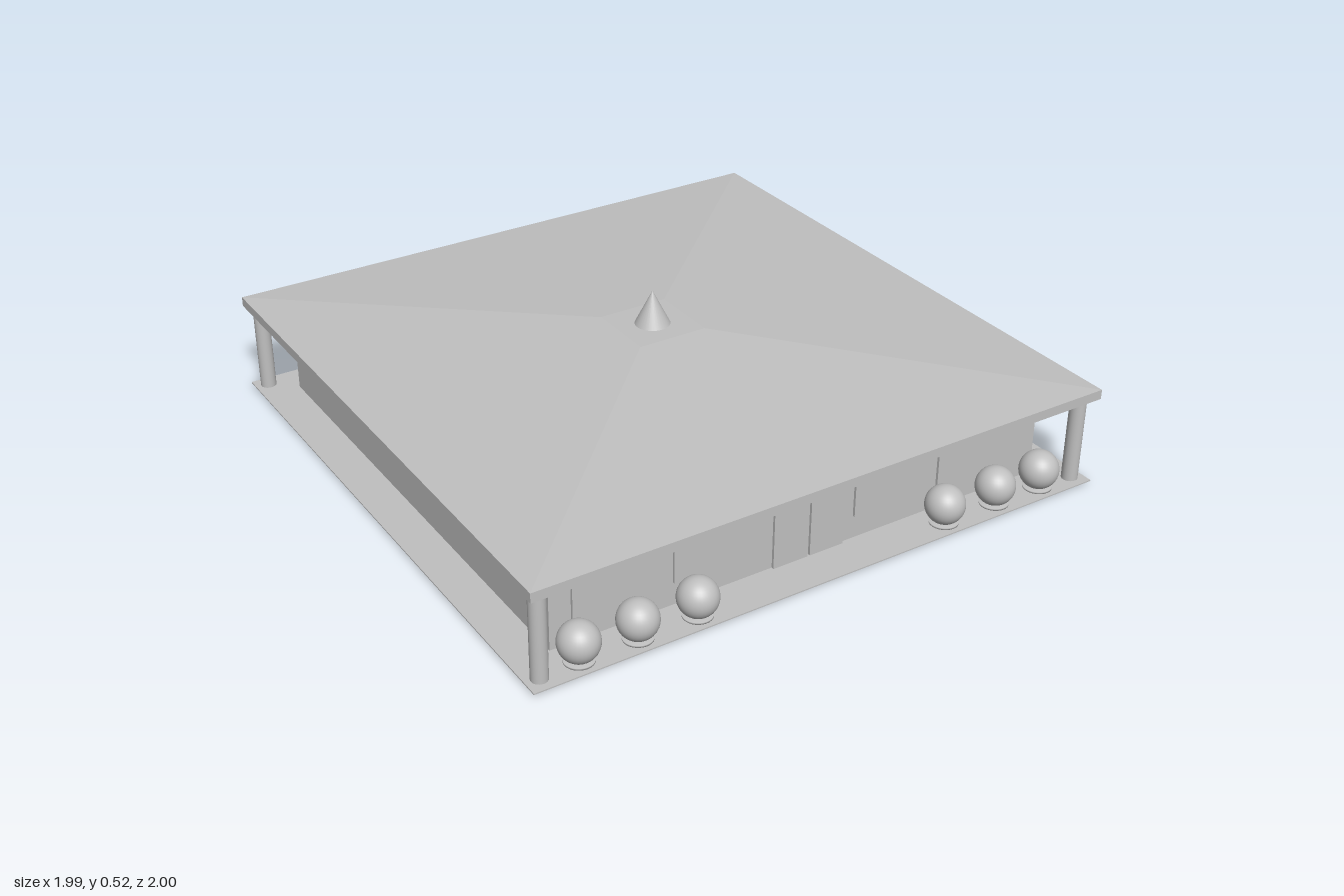
import * as THREE from 'three';

export function createModel() {
  const model = new THREE.Group();
  const grey = new THREE.MeshStandardMaterial({ color: 0xc0c0c0 });
  grey.name = 'plainGrey';

  function add(name, geometry, x = 0, y = 0, z = 0) {
    const mesh = new THREE.Mesh(geometry, grey);
    mesh.name = name;
    mesh.position.set(x, y, z);
    model.add(mesh);
    return mesh;
  }
  // Box given by its limits on each axis
  function block(name, x0, x1, y0, y1, z0, z1) {
    return add(name, new THREE.BoxGeometry(x1 - x0, y1 - y0, z1 - z0),
      (x0 + x1) / 2, (y0 + y1) / 2, (z0 + z1) / 2);
  }

  // Thin floor and the main hall
  block('floor', -0.997, 0.997, 0.008, 0.012, -1, 0.994);
  block('walls', -0.87, 0.87, 0.012, 0.305, -0.883, 0.853);

  // Roof edge, shallow hipped roof with a small flat top, and spire
  block('roofEdge', -0.997, 0.997, 0.305, 0.337, -1, 0.994);
  const hip = new THREE.BoxGeometry(1.994, 0.068, 1.994);
  const p = hip.attributes.position;
  for (let i = 0; i < p.count; i++) {
    if (p.getY(i) > 0) {
      p.setX(i, Math.sign(p.getX(i)) * 0.12);
      p.setZ(i, Math.sign(p.getZ(i)) * 0.12);
    }
  }
  hip.computeVertexNormals();
  add('hippedRoof', hip, 0, 0.371, -0.003);
  add('spire', new THREE.ConeGeometry(0.06, 0.12, 32), 0, 0.46, -0.003);

  // Corner columns
  for (const x of [-0.953, 0.953]) {
    for (const z of [0.945, -0.955]) {
      add('column', new THREE.CylinderGeometry(0.026, 0.026, 0.305, 24), x, 0.1525, z);
    }
  }

  // Front windows and double door
  for (const [x0, x1] of [[-0.8, -0.52], [-0.47, -0.19], [0.165, 0.445], [0.48, 0.765]]) {
    block('window', x0, x1, 0.09, 0.223, 0.853, 0.862);
  }
  block('leftDoorLeaf', 0.004, 0.125, 0.012, 0.298, 0.853, 0.862);
  block('rightDoorLeaf', -0.127, -0.004, 0.012, 0.298, 0.853, 0.862);

  // Ball shrubs in low pots
  const potProfile = [[0, 0], [0.036, 0], [0.032, 0.01], [0.046, 0.016], [0.046, 0.022], [0, 0.024]]
    .map(([r, y]) => new THREE.Vector2(r, y));
  for (const x of [-0.825, -0.637, -0.44, 0.45, 0.648, 0.825]) {
    add('shrub', new THREE.SphereGeometry(0.063, 32, 20), x, 0.08, 0.937);
    add('shrubPot', new THREE.LatheGeometry(potProfile, 28), x, 0, 0.937);
  }

  return model;
}
